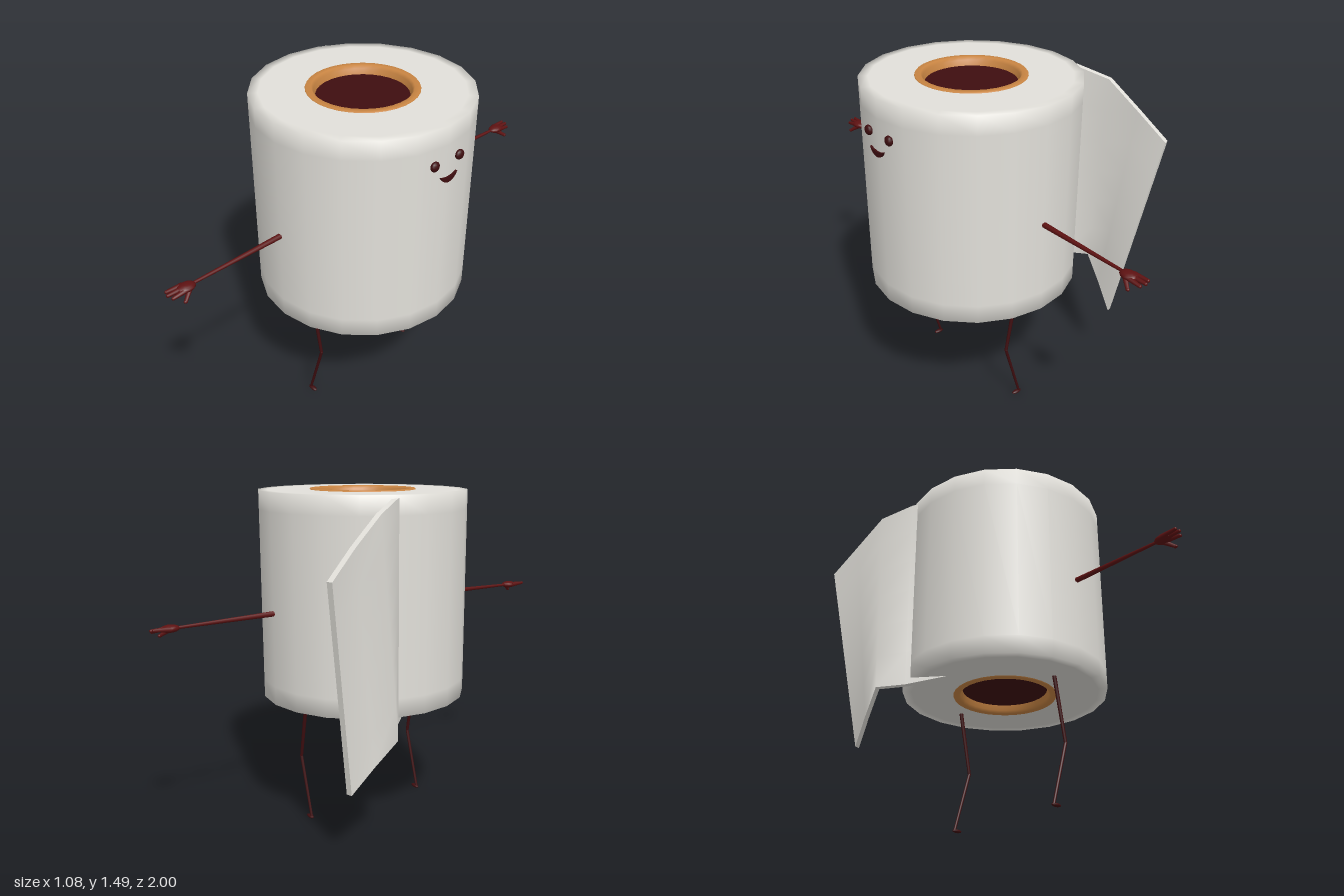
import * as THREE from 'three';

const material = (name, color, side = THREE.FrontSide) => {
  const m = new THREE.MeshStandardMaterial({ color, side });
  m.name = name;
  return m;
};
const V = (x, y, z) => new THREE.Vector3(x, y, z);
const CX = 0.065; // roll axis

export function createModel() {
  const root = new THREE.Group();
  root.name = 'paperRollCharacter';
  const paper = material('paper white', 0xe2e0da, THREE.DoubleSide);
  const card = material('cardboard', 0xc98543, THREE.DoubleSide);
  const maroon = material('maroon', 0x5e1212);
  const dark = material('dark maroon', 0x3f0e10);

  const add = (parent, name, geometry, mat, x = 0, y = 0, z = 0) => {
    const mesh = new THREE.Mesh(geometry, mat);
    mesh.name = name;
    mesh.position.set(x, y, z);
    parent.add(mesh);
    return mesh;
  };
  const lathe = (pts, n) =>
    new THREE.LatheGeometry(pts.map(([r, y]) => new THREE.Vector2(r, y)), n);
  const ball = (parent, name, mat, pos, radii) => {
    const m = add(parent, name, new THREE.SphereGeometry(1, 12, 8), mat, ...pos);
    m.scale.set(...radii);
    return m;
  };
  // Tapered rod between two points
  const rod = (parent, name, mat, a, b, ra, rb) => {
    const d = b.clone().sub(a);
    const m = add(parent, name, new THREE.CylinderGeometry(rb, ra, d.length(), 8), mat);
    m.position.copy(a).addScaledVector(d, 0.5);
    m.quaternion.setFromUnitVectors(V(0, 1, 0), d.normalize());
    return m;
  };

  // Roll: soft shaded rims on a twenty-sided cylinder
  add(root, 'paperRoll', lathe([
    [0.21, 0.57], [0.42, 0.57], [0.46, 0.57], [0.46, 0.65],
    [0.46, 1.4], [0.46, 1.48], [0.42, 1.48], [0.21, 1.48],
  ], 20), paper, CX);

  // Cardboard rims and the dark core, alike at both ends
  for (const s of [1, -1]) {
    const end = s > 0 ? 'top' : 'bottom';
    const y = (h) => 1.025 + s * h;
    add(root, end + 'CardboardRim', lathe([
      [0.234, y(0.453)], [0.23, y(0.46)], [0.207, y(0.46)],
      [0.198, y(0.448)], [0.19, y(0.42)],
    ].reverse(), 32), card, CX);
  }
  add(root, 'core', new THREE.CylinderGeometry(0.195, 0.195, 0.85, 32), dark, CX, 1.025);

  // Loose sheet: ruled surfaces between a top and a bottom edge
  const topEdge = [V(-0.35, 1.475, -0.09), V(-0.39, 1.465, -0.15), V(-0.468, 1.42, -0.28),
    V(-0.505, 1.31, -0.42), V(-0.545, 1.2, -0.548)];
  const bottomEdge = [V(-0.27, 0.57, 0), V(-0.39, 0.54, -0.14), V(-0.49, 0.52, -0.21),
    V(-0.468, 0.42, -0.31), V(-0.445, 0.315, -0.405)];
  const shifted = (pts) => pts.map((p) => p.clone().add(V(0.024, 0, -0.008)));
  const ruled = (a, b, rows) => {
    const pos = [], idx = [], n = a.length;
    for (let r = 0; r <= rows; r++)
      for (let i = 0; i < n; i++) pos.push(...a[i].clone().lerp(b[i], r / rows).toArray());
    for (let r = 0; r < rows; r++)
      for (let i = 0; i < n - 1; i++) {
        const k = r * n + i;
        idx.push(k, k + n, k + 1, k + 1, k + n, k + n + 1);
      }
    const g = new THREE.BufferGeometry();
    g.setAttribute('position', new THREE.Float32BufferAttribute(pos, 3));
    g.setIndex(idx);
    g.computeVertexNormals();
    return g;
  };
  const topInner = shifted(topEdge), bottomInner = shifted(bottomEdge);
  const sheet = new THREE.Group();
  sheet.name = 'looseSheet';
  root.add(sheet);
  add(sheet, 'sheetOuterFace', ruled(bottomEdge, topEdge, 6), paper);
  add(sheet, 'sheetInnerFace', ruled(topInner, bottomInner, 6), paper);
  add(sheet, 'sheetTopRim', ruled(topEdge, topInner, 1), paper);
  add(sheet, 'sheetBottomRim', ruled(bottomInner, bottomEdge, 1), paper);
  add(sheet, 'sheetEndRim', ruled([bottomEdge[4], bottomInner[4]],
    [topEdge[4], topInner[4]], 1), paper);

  // Limbs, mirrored front to back
  for (const s of [1, -1]) {
    const side = new THREE.Group();
    side.name = s > 0 ? 'frontLimbs' : 'backLimbs';
    side.scale.z = s;
    root.add(side);

    rod(side, 'arm', maroon, V(CX, 0.975, 0.44), V(0.07, 0.968, 0.9), 0.012, 0.006);
    ball(side, 'palm', maroon, [0.072, 0.968, 0.915], [0.029, 0.016, 0.04]);
    for (const [x, y, z] of [[0.052, 0.972, 0.99], [0.07, 0.968, 0.995], [0.088, 0.96, 0.985]]) {
      rod(side, 'finger', maroon, V(x, 0.968, 0.92), V(x, y, z), 0.011, 0.007);
      ball(side, 'fingerTip', maroon, [x, y, z], [0.007, 0.007, 0.005]);
    }
    rod(side, 'thumb', maroon, V(0.082, 0.965, 0.905), V(0.108, 0.936, 0.945), 0.011, 0.007);
    ball(side, 'thumbTip', maroon, [0.108, 0.936, 0.945], [0.007, 0.007, 0.009]);

    rod(side, 'thigh', dark, V(CX, 0.58, 0.305), V(0.122, 0.283, 0.305), 0.009, 0.007);
    ball(side, 'knee', dark, [0.122, 0.283, 0.305], [0.007, 0.007, 0.007]);
    rod(side, 'shin', dark, V(0.122, 0.283, 0.305), V(0.04, 0.01, 0.305), 0.007, 0.006);
    ball(side, 'foot', dark, [0.053, 0.008, 0.305], [0.025, 0.008, 0.011]);

    ball(side, 'eye', dark, [0.523, 1.333, 0.07], [0.014, 0.021, 0.022]);
  }

  // Smiling mouth on the +x side
  const smile = new THREE.Shape();
  smile.moveTo(-0.046, 1.278);
  smile.quadraticCurveTo(0, 1.257, 0.046, 1.278);
  smile.quadraticCurveTo(0.03, 1.246, 0, 1.246);
  smile.quadraticCurveTo(-0.03, 1.246, -0.046, 1.278);
  const mouth = add(root, 'mouth', new THREE.ExtrudeGeometry(smile, {
    depth: 0.009, bevelEnabled: false, curveSegments: 8,
  }), dark, 0.528);
  mouth.rotation.y = Math.PI / 2;

  return root;
}
